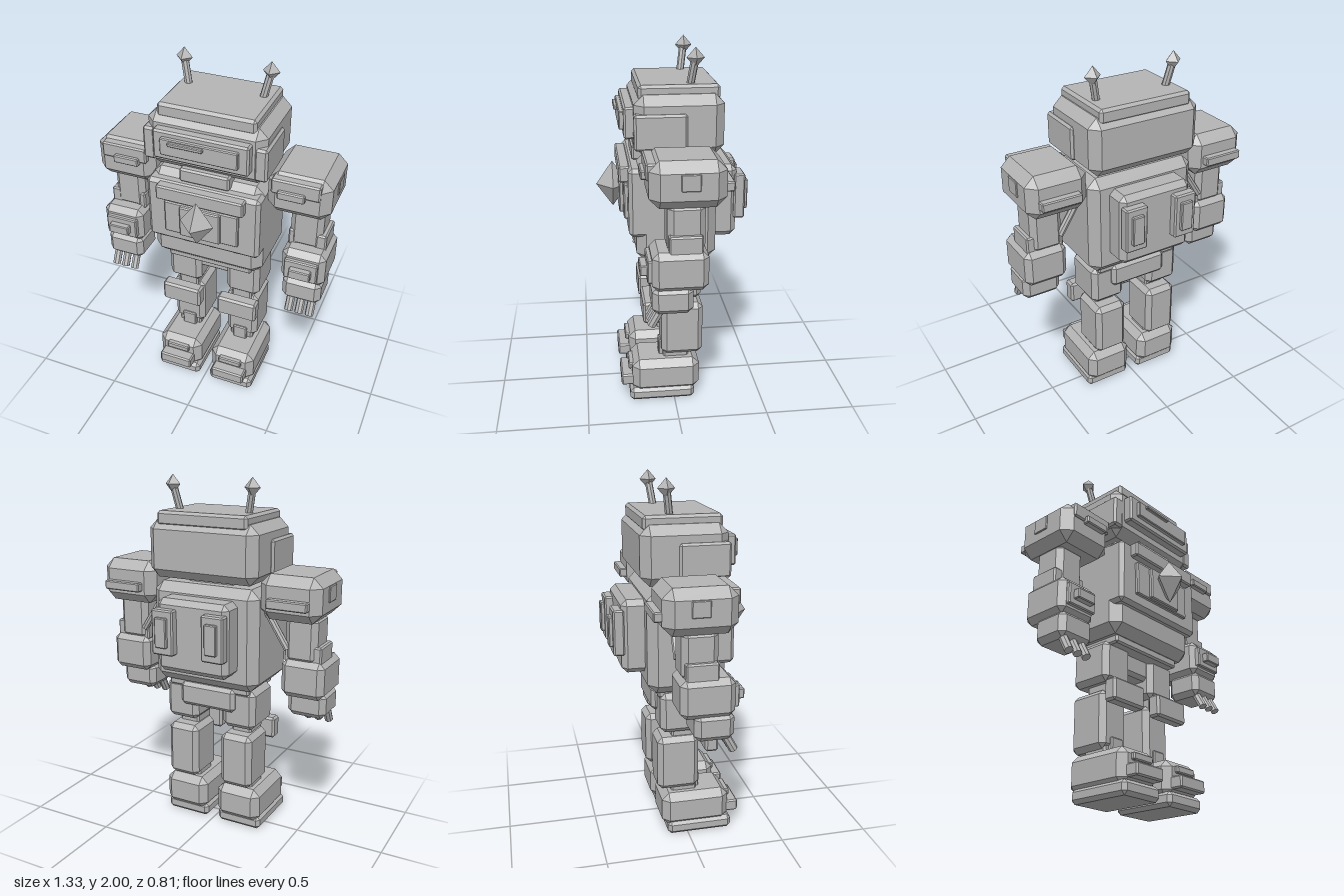
import * as THREE from 'three';
import { ConvexGeometry } from 'three/addons/geometries/ConvexGeometry.js';

const grey = new THREE.MeshStandardMaterial({ color: 0xb4b4b4 });
grey.name = 'grey plastic';

// Box with every edge chamfered, as the hull of three corner points per corner
function chamferBox(w, h, d, b) {
  const pts = [];
  for (const x of [-1, 1]) for (const y of [-1, 1]) for (const z of [-1, 1]) {
    for (let axis = 0; axis < 3; axis++) {
      const inset = [b, b, b];
      inset[axis] = 0;
      pts.push(new THREE.Vector3(
        x * (w / 2 - inset[0]), y * (h / 2 - inset[1]), z * (d / 2 - inset[2])));
    }
  }
  return new ConvexGeometry(pts);
}

function add(parent, name, geometry, x, y, z) {
  const mesh = new THREE.Mesh(geometry, grey);
  mesh.name = name;
  mesh.position.set(x, y, z);
  parent.add(mesh);
  return mesh;
}

// Block given by its extents along each axis
function block(parent, name, [x0, x1], [y0, y1], [z0, z1], bevel = 0.008) {
  return add(parent, name, chamferBox(x1 - x0, y1 - y0, z1 - z0, bevel),
    (x0 + x1) / 2, (y0 + y1) / 2, (z0 + z1) / 2);
}

// Flat-sided rod between two points
function rod(parent, name, from, to, radius, sides = 8) {
  const a = new THREE.Vector3(...from), b = new THREE.Vector3(...to);
  const dir = b.clone().sub(a);
  const geo = new THREE.CylinderGeometry(radius, radius, dir.length(), sides).toNonIndexed();
  geo.computeVertexNormals();
  const mid = a.add(b).multiplyScalar(0.5);
  const mesh = add(parent, name, geo, mid.x, mid.y, mid.z);
  mesh.quaternion.setFromUnitVectors(new THREE.Vector3(0, 1, 0), dir.normalize());
}

function gem(parent, name, [x, y, z], [rx, ry, rz]) {
  add(parent, name, new THREE.OctahedronGeometry(1).scale(rx, ry, rz), x, y, z);
}

function buildHead(g) {
  block(g, 'head', [-0.325, 0.325], [1.46, 1.775], [-0.255, 0.21], 0.05);
  block(g, 'headCap', [-0.268, 0.268], [1.74, 1.82], [-0.235, 0.185], 0.015);
  block(g, 'facePlate', [-0.26, 0.26], [1.545, 1.71], [0.18, 0.26], 0.01);
  block(g, 'visor', [-0.21, 0.21], [1.585, 1.68], [0.25, 0.283], 0.005);
  block(g, 'visorSlit', [-0.16, 0.03], [1.65, 1.67], [0.27, 0.3], 0.004);
  block(g, 'neck', [-0.14, 0.14], [1.4, 1.48], [-0.12, 0.215], 0.01);
}

function buildTorso(g) {
  block(g, 'torso', [-0.32, 0.32], [0.87, 1.435], [-0.222, 0.205], 0.05);
  block(g, 'chest', [-0.32, 0.32], [1.025, 1.4], [0.1, 0.245], 0.02);
  block(g, 'chestBar', [-0.245, 0.245], [1.31, 1.395], [0.23, 0.29]);
  block(g, 'chestPlate', [-0.21, 0.21], [1.095, 1.29], [0.23, 0.265], 0.006);
  block(g, 'chestInset', [-0.115, 0.115], [1.1, 1.285], [0.25, 0.285], 0.006);
  gem(g, 'chestGem', [0, 1.23, 0.315], [0.095, 0.13, 0.09]);
  block(g, 'backpack', [-0.215, 0.215], [0.97, 1.375], [-0.345, -0.18], 0.03);
  block(g, 'waist', [-0.25, 0.25], [0.83, 0.89], [-0.16, 0.15], 0.01);
  block(g, 'pelvis', [-0.17, 0.17], [0.725, 0.86], [-0.18, 0.07], 0.02);
}

// One side of the model, drawn on +x and placed by sign
function buildSide(g, s) {
  const part = (name, [x0, x1], ys, zs, bevel) =>
    block(g, name, s > 0 ? [x0, x1] : [-x1, -x0], ys, zs, bevel);

  // Head fittings
  part('ear', [0.27, 0.34], [1.5, 1.685], [-0.06, 0.213], 0.012);
  rod(g, 'antenna', [s * 0.205, 1.8, -0.085], [s * 0.235, 1.94, -0.105], 0.021);
  gem(g, 'antennaTip', [s * 0.237, 1.95, -0.108], [0.046, 0.052, 0.046]);

  // Backpack boosters
  part('booster', [0.085, 0.215], [1.075, 1.325], [-0.39, -0.33]);
  part('boosterCap', [0.115, 0.185], [1.12, 1.285], [-0.41, -0.38], 0.005);

  // Shoulder
  part('shoulder', [0.32, 0.66], [1.29, 1.53], [-0.215, 0.167], 0.052);
  part('shoulderPlate', [0.35, 0.61], [1.43, 1.515], [0.1, 0.178]);
  part('shoulderBadge', [0.39, 0.535], [1.415, 1.46], [0.14, 0.2], 0.006);
  part('shoulderBackPlate', [0.385, 0.61], [1.365, 1.415], [-0.255, -0.205], 0.006);
  part('shoulderSidePlate', [0.64, 0.667], [1.39, 1.475], [-0.08, 0.015], 0.004);

  // Arm
  part('upperArm', [0.435, 0.615], [1.05, 1.31], [-0.115, 0.075], 0.03);
  part('outerElbow', [0.575, 0.64], [1.05, 1.15], [-0.1, 0.07]);
  part('innerElbow', [0.43, 0.485], [1.05, 1.15], [-0.1, 0.07]);
  rod(g, 'armBrace', [s * 0.31, 1.34, -0.1], [s * 0.45, 1.12, -0.1], 0.02);
  part('forearm', [0.42, 0.663], [0.86, 1.07], [-0.13, 0.155], 0.032);
  part('forearmPlate', [0.445, 0.63], [0.905, 1.025], [0.14, 0.178], 0.006);
  part('forearmBadge', [0.48, 0.6], [0.935, 0.99], [0.16, 0.213], 0.005);
  part('hand', [0.432, 0.652], [0.73, 0.88], [-0.055, 0.155], 0.03);
  for (const x of [0.485, 0.545, 0.605])
    rod(g, 'finger', [s * x, 0.77, 0.1], [s * x, 0.66, 0.16], 0.024);

  // Leg
  part('thigh', [0.08, 0.28], [0.625, 0.855], [-0.15, 0.1], 0.028);
  part('kneeJoint', [0.11, 0.23], [0.56, 0.65], [-0.08, 0.07], 0.01);
  part('kneePad', [0.055, 0.292], [0.495, 0.62], [0.1, 0.175], 0.012);
  part('shin', [0.075, 0.267], [0.27, 0.587], [-0.165, 0.07], 0.028);
  part('ankle', [0.1, 0.24], [0.22, 0.3], [-0.085, 0.06], 0.01);
  part('ankleLug', [0.125, 0.21], [0.22, 0.335], [0.03, 0.083], 0.006);

  // Foot
  part('foot', [0.035, 0.305], [0.05, 0.25], [-0.145, 0.24], 0.04);
  part('sole', [0.035, 0.305], [0, 0.078], [-0.115, 0.255], 0.02);
  part('toePlate', [0.07, 0.27], [0.09, 0.157], [0.22, 0.303]);
  part('instepPlate', [0.1, 0.24], [0.178, 0.217], [0.2, 0.26], 0.006);
}

export function createModel() {
  const robot = new THREE.Group();
  robot.name = 'robot';
  const builders = {
    head: buildHead,
    torso: buildTorso,
    leftSide: (g) => buildSide(g, 1),
    rightSide: (g) => buildSide(g, -1),
  };
  for (const [name, build] of Object.entries(builders)) {
    const group = new THREE.Group();
    group.name = name;
    build(group);
    robot.add(group);
  }
  return robot;
}
